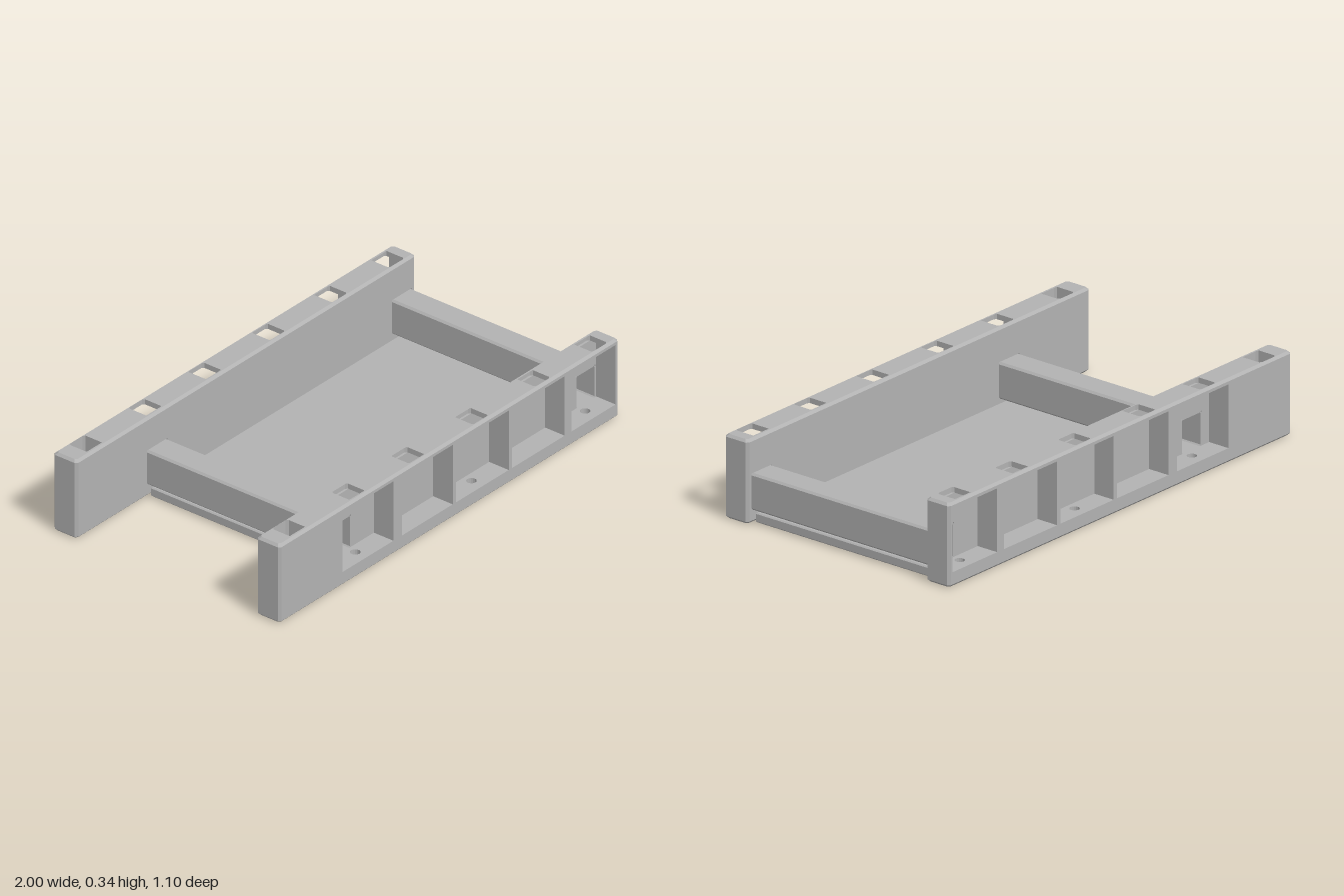
import * as THREE from 'three';

const grey = new THREE.MeshStandardMaterial({ color: 0xb2b2b2 });
grey.name = 'grey plastic';

const HALF = 0.0575;   // half thickness of a rail
const RAIL_Z = 0.4925; // rail centre line
const CH = 0.01;       // edge chamfer
const POCKETS = [[-0.63, -0.33], [-0.28, 0.02], [0.04, 0.35], [0.37, 0.68], [0.72, 0.98]];
const SLOTS = [-0.875, -0.525, -0.175, 0.2, 0.565, 0.9];
const BEAMS = [[-0.586, -0.466], [0.859, 0.976]];
const BEAM_Y = [0.052, 0.201];

const poly = (pts, Type = THREE.Shape) => new Type(pts.map(p => new THREE.Vector2(p[0], p[1])));

// Rectangle with each side's corners cut by c0 (left) and c1 (right)
function rect(x0, x1, y0, y1, c0 = 0, c1 = c0, Type = THREE.Shape) {
  const pts = [];
  if (c0) pts.push([x0, y0 + c0], [x0 + c0, y0]); else pts.push([x0, y0]);
  if (c1) pts.push([x1 - c1, y0], [x1, y0 + c1]); else pts.push([x1, y0]);
  if (c1) pts.push([x1, y1 - c1], [x1 - c1, y1]); else pts.push([x1, y1]);
  if (c0) pts.push([x0 + c0, y1], [x0, y1 - c0]); else pts.push([x0, y1]);
  return poly(pts, Type);
}

function extrude(shape, depth) {
  return new THREE.ExtrudeGeometry(shape, { depth, bevelEnabled: false, curveSegments: 8 });
}

function add(parent, name, geometry) {
  const m = new THREE.Mesh(geometry, grey);
  m.name = name;
  parent.add(m);
  return m;
}

// Plan outline raised from y0 to y1
function slab(shape, y0, y1) {
  return extrude(shape, y1 - y0).rotateX(-Math.PI / 2).translate(0, y0, 0);
}

// Pull the outer outline inwards at one height to form a chamfer
function chamferAt(geometry, y) {
  const p = geometry.attributes.position;
  for (let i = 0; i < p.count; i++) {
    if (Math.abs(p.getY(i) - y) > 1e-4) continue;
    const x = p.getX(i), z = p.getZ(i);
    if (Math.abs(x) < 0.985 && Math.abs(z) < HALF - 0.004) continue;
    p.setX(i, x * 0.99);
    p.setZ(i, z * (1 - CH / HALF));
  }
  geometry.computeVertexNormals();
  return geometry;
}

const slotHole = x => rect(x - 0.045, x + 0.045, -0.047, 0.047, 0.008, 0.008, THREE.Path);

function railPlan(holes) {
  const s = rect(-1, 1, -HALF, HALF, CH);
  s.holes.push(...holes);
  return s;
}

function screwHoles() {
  return [-0.485, 0.2, 0.87].map(x => new THREE.Path().absarc(x, 0, 0.02, 0, Math.PI * 2, true));
}

// side = 1 for the front rail, -1 for the back; pockets open outwards
function makeRail(side, name) {
  const rail = new THREE.Group();
  rail.name = name;
  rail.position.z = side * RAIL_Z;

  // floor with screw holes
  add(rail, 'railBottomEdge', chamferAt(slab(railPlan(screwHoles()), 0, CH), 0));
  add(rail, 'railFloor', slab(railPlan(screwHoles()), CH, 0.06));

  // slotted top
  const slots = () => SLOTS.map(slotHole);
  add(rail, 'railTop', slab(railPlan(slots()), 0.318, 0.33));
  add(rail, 'railTopEdge', chamferAt(slab(railPlan(slots()), 0.33, 0.34), 0.34));

  // solid end with its own slot
  const end = rect(-1, POCKETS[0][0], -HALF, HALF, CH, 0);
  end.holes.push(slotHole(SLOTS[0]));
  add(rail, 'solidEnd', slab(end, 0.06, 0.318));

  // ribs between the pockets and the closing end wall
  POCKETS.forEach(([, x0], i) => {
    const last = i === POCKETS.length - 1;
    const x1 = last ? 1 : POCKETS[i + 1][0];
    add(rail, last ? 'endWall' : 'rib', slab(rect(x0, x1, -HALF, HALF, 0, last ? CH : 0), 0.06, 0.318));
  });

  // inner wall with openings for the hollow beams
  const wall = rect(POCKETS[0][0], 0.98, 0.055, 0.318);
  for (const [a, b] of BEAMS) wall.holes.push(rect(a, b, 0.06, BEAM_Y[1], 0, 0, THREE.Path));
  const z = side > 0 ? -HALF : HALF - 0.02;
  add(rail, 'innerWall', extrude(wall, 0.02).translate(0, 0, z));
  return rail;
}

export function createModel() {
  const model = new THREE.Group();
  model.name = 'railFrame';
  model.add(makeRail(1, 'frontRail'), makeRail(-1, 'backRail'));

  // hollow cross beams
  const [y0, y1] = BEAM_Y, t = 0.005;
  BEAMS.forEach(([a, b], i) => {
    const s = rect(a, b, y0, y1, 0.008);
    s.holes.push(rect(a + t, b - t, y0 + 0.008, y1 - t, 0.005, 0.005, THREE.Path));
    add(model, i ? 'leftBeam' : 'rightBeam', extrude(s, 0.91).translate(0, 0, -0.455));
  });

  // base plate with slightly bevelled edges
  const b = 0.005;
  const plate = new THREE.ExtrudeGeometry(rect(-0.58 + b, 0.97 - b, -0.42 + b, 0.42 - b), {
    depth: 0.03, bevelEnabled: true, bevelSize: b, bevelThickness: b, bevelSegments: 1,
  });
  add(model, 'basePlate', plate.rotateX(-Math.PI / 2).translate(0, 0.01, 0));
  return model;
}
